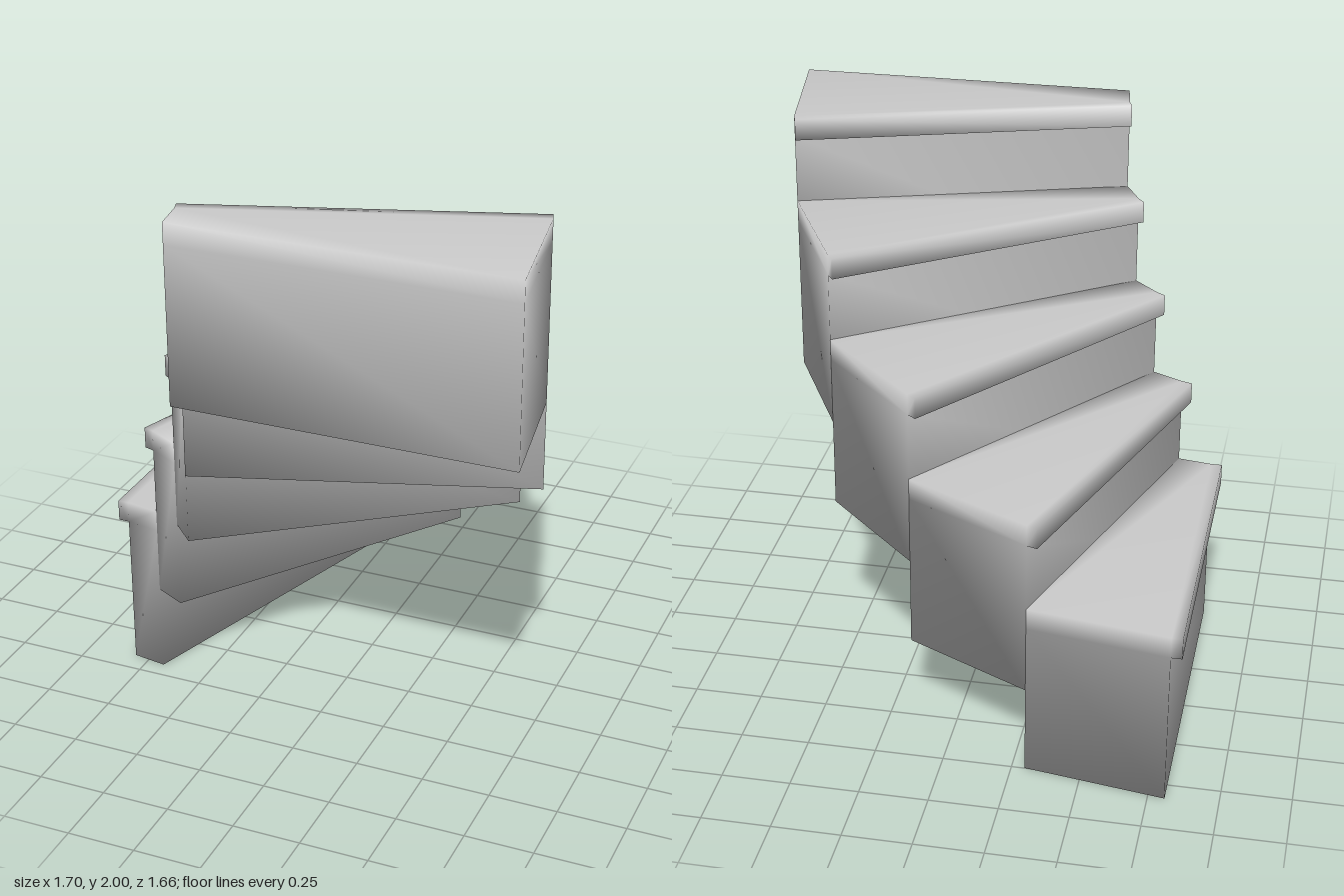
import * as THREE from 'three';

const CX = -0.81, CZ = 0.83;        // axis the stair winds around
const R_IN = 0.415, R_OUT = 1.66;
const STEPS = 5, TURN = Math.PI / 2 / STEPS;
const RISE = 1 / 3, BODY = 2 / 3;   // each step overlaps the next by half
const SLAB = 0.08, NOSE = 0.04;

// Point on a radial line, shifted forward of it by "ahead"
function point(angle, radius, ahead, y) {
  return [
    CX + radius * Math.sin(angle) - ahead * Math.cos(angle), y,
    CZ - radius * Math.cos(angle) - ahead * Math.sin(angle),
  ];
}

// Wedge-shaped step: riser profile with a nosing, lofted from inner to outer end
function stepGeometry(i) {
  const a = i * TURN, b = a + TURN;
  const low = i * RISE, top = low + BODY, under = top - SLAB;
  const profile = [
    [a, 0, low], [a, 0, under], [a, NOSE, under], [a, NOSE, top],
    [a, 0, top], [b, 0, top], [b, 0, under], [b, 0, low],
  ];
  const n = profile.length;
  const positions = [R_IN, R_OUT].flatMap((r) =>
    profile.flatMap(([angle, ahead, y]) => point(angle, r, ahead, y)));

  const index = [];
  const quad = (p, q, r, s) => index.push(p, q, r, p, r, s);
  for (let k = 0; k < n; k++) {
    const m = (k + 1) % n;
    quad(k, m, m + n, k + n);
  }
  // End walls: body, slab, nosing
  for (const [p, q, r, s] of [[0, 1, 6, 7], [1, 4, 5, 6], [1, 2, 3, 4]]) {
    quad(p, s, r, q);
    quad(p + n, q + n, r + n, s + n);
  }

  const geometry = new THREE.BufferGeometry();
  geometry.setAttribute('position', new THREE.Float32BufferAttribute(positions, 3));
  geometry.setIndex(index);
  geometry.computeVertexNormals();
  return geometry;
}

export function createModel() {
  const group = new THREE.Group();
  group.name = 'windingStair';
  const material = new THREE.MeshStandardMaterial({ color: 0xcccccc });
  for (let i = 0; i < STEPS; i++) {
    const step = new THREE.Mesh(stepGeometry(i), material);
    step.name = `step${i + 1}`;
    group.add(step);
  }
  return group;
}
